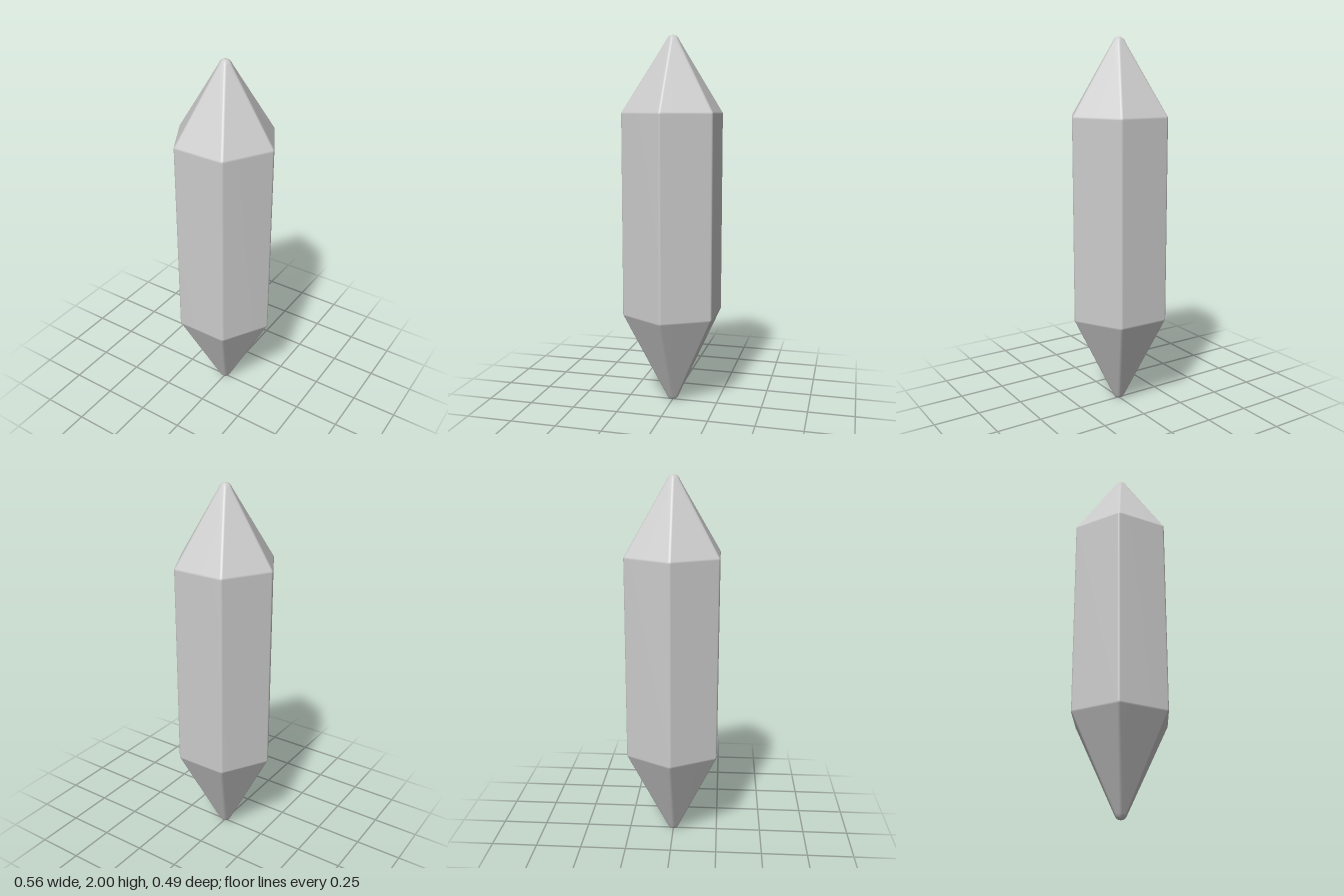
import * as THREE from 'three';

const CORNERS = 6;
const ARC = 3; // segments in each rounded corner
const SIDES = CORNERS * (ARC + 1);

// Profile from bottom to top: [distance from axis to flat side, height]
const PROFILE = [
  [0, 0], [0.011, 0.001], [0.021, 0.007], [0.028, 0.017], [0.033, 0.028],
  [0.242, 0.504], [0.2445, 0.509], [0.245, 0.515],
  [0.245, 1.590], [0.2445, 1.596], [0.242, 1.601],
  [0.035, 1.969], [0.029, 1.982], [0.021, 1.993], [0.011, 1.999], [0, 2],
];

// Hexagonal outline with softly rounded corners, one corner on +x
function addRing(positions, flat, y) {
  const round = Math.min(0.016, flat * 0.6);
  const centre = (flat - round) / Math.cos(Math.PI / 6);
  for (let c = 0; c < CORNERS; c++) {
    const corner = c * Math.PI / 3;
    for (let s = 0; s <= ARC; s++) {
      const a = corner + (s / ARC - 0.5) * Math.PI / 3;
      positions.push(
        centre * Math.cos(corner) + round * Math.cos(a),
        y,
        -centre * Math.sin(corner) - round * Math.sin(a),
      );
    }
  }
}

function crystalGeometry() {
  const positions = [];
  const index = [];
  for (const [flat, y] of PROFILE) addRing(positions, flat, y);

  // The first and last rings each share a single pole vertex
  const last = PROFILE.length - 1;
  const at = (i, j) => i * SIDES + (i === 0 || i === last ? 0 : j % SIDES);
  for (let i = 0; i < last; i++) {
    for (let j = 0; j < SIDES; j++) {
      const a = at(i, j), b = at(i, j + 1), c = at(i + 1, j + 1), d = at(i + 1, j);
      if (a !== b) index.push(a, b, d);
      if (c !== d) index.push(b, c, d);
    }
  }

  const geometry = new THREE.BufferGeometry();
  geometry.setAttribute('position', new THREE.Float32BufferAttribute(positions, 3));
  geometry.setIndex(index);
  // Area-weighted normals keep the large facets flat and the thin bevels smooth
  geometry.computeVertexNormals();
  return geometry;
}

export function createModel() {
  const group = new THREE.Group();
  const material = new THREE.MeshStandardMaterial({ color: 0xcccccc });
  const crystal = new THREE.Mesh(crystalGeometry(), material);
  crystal.name = 'crystal';
  group.add(crystal);
  return group;
}
